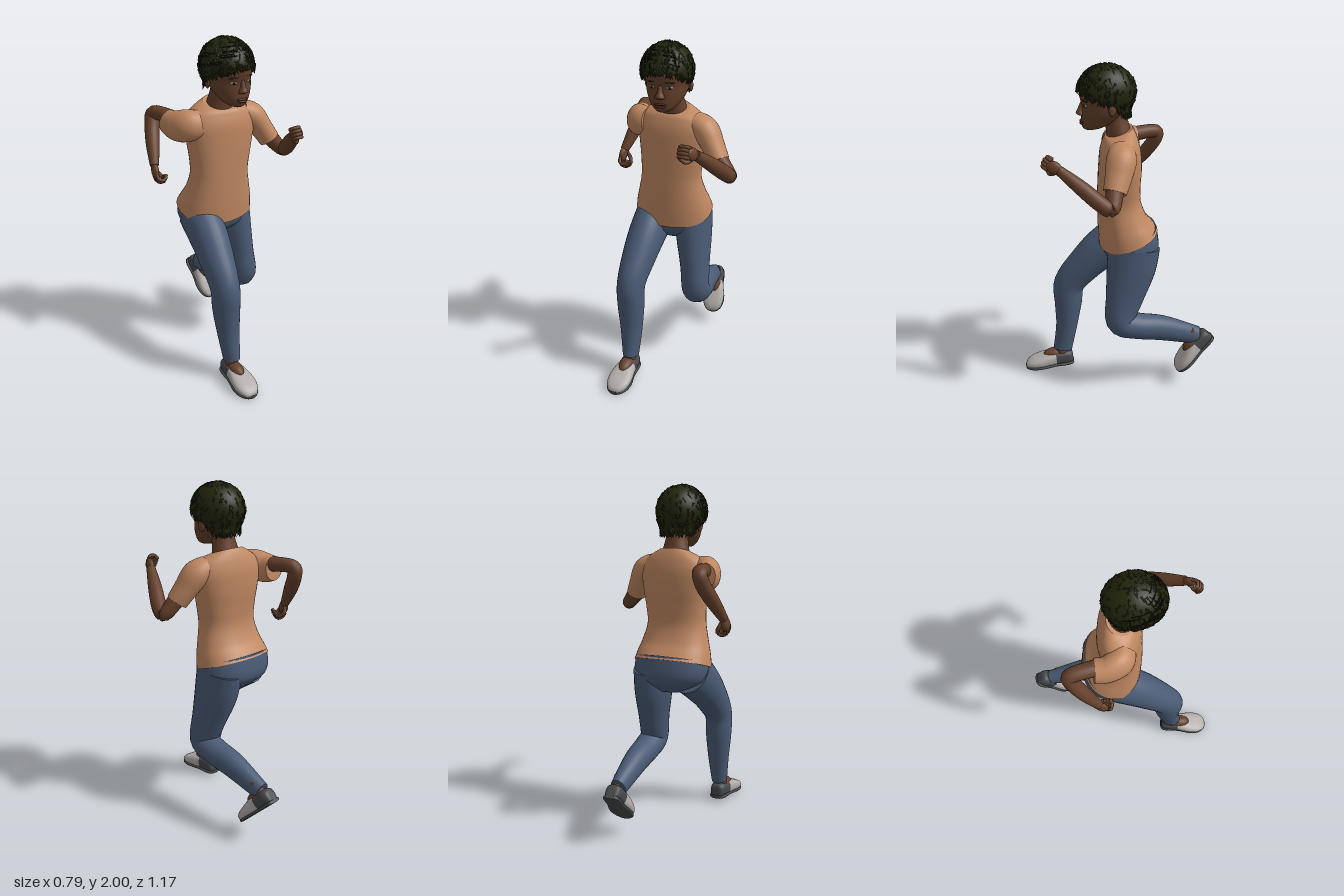
import * as THREE from 'three';
import { mergeGeometries } from 'three/addons/utils/BufferGeometryUtils.js';

const mat = (name, color) => {
  const m = new THREE.MeshStandardMaterial({ color, side: THREE.DoubleSide });
  m.name = name;
  return m;
};
const V = (x, y, z) => new THREE.Vector3(x, y, z);
const X = V(1, 0, 0), Y = V(0, 1, 0), Z = V(0, 0, 1);

// Catmull-Rom interpolation of number rows, k steps per span
function smooth(rows, k) {
  const out = [], last = rows.length - 1;
  const at = (i, c) => rows[Math.min(Math.max(i, 0), last)][c] ?? 0;
  for (let s = 0; s <= last * k; s++) {
    const i = Math.min(Math.floor(s / k), last - 1), t = s / k - i;
    out.push([0, 1, 2, 3, 4, 5].map((c) => {
      const a = at(i - 1, c), b = at(i, c), d = at(i + 1, c), e = at(i + 2, c);
      return b + 0.5 * t * (d - a + t * (2 * a - 5 * b + 4 * d - e + t * (3 * (b - d) + e - a)));
    }));
  }
  return out;
}

// Skin over stations [x, y, z, radiusU, radiusV, tilt]; rings follow the path unless an axis is fixed
function loft(rows, { axis = null, ref = X, n = 28, k = 5, power = 1, yaw = () => 0 } = {}) {
  const st = smooth(rows, k), pos = [], idx = [];
  const c = st.map((s) => V(s[0], s[1], s[2]));
  const bend = (v) => Math.sign(v) * Math.abs(v) ** power;
  st.forEach((s, i) => {
    const T = axis ? axis.clone() : c[Math.min(i + 1, c.length - 1)].clone().sub(c[Math.max(i - 1, 0)]).normalize();
    const U = ref.clone().addScaledVector(T, -ref.dot(T)).normalize();
    const W = T.clone().cross(U);
    for (let j = 0; j < n; j++) {
      const a = (j / n) * Math.PI * 2;
      const p = U.clone().multiplyScalar(s[3] * bend(Math.cos(a))).addScaledVector(W, s[4] * bend(Math.sin(a)));
      p.applyAxisAngle(Y, -yaw(s[1]));
      p.y += s[5] * p.z;
      p.add(c[i]);
      pos.push(p.x, p.y, p.z);
      if (i) {
        const q = (j + 1) % n, A = (i - 1) * n, B = i * n;
        idx.push(A + j, A + q, B + q, A + j, B + q, B + j);
      }
    }
  });
  // End caps on their own vertices
  for (const [i, flip] of [[0, true], [st.length - 1, false]]) {
    const base = pos.length / 3;
    pos.push(...pos.slice(i * n * 3, (i + 1) * n * 3), c[i].x, c[i].y, c[i].z);
    for (let j = 0; j < n; j++) {
      const a = base + j, b = base + ((j + 1) % n);
      idx.push(base + n, flip ? b : a, flip ? a : b);
    }
  }
  const g = new THREE.BufferGeometry();
  g.setAttribute('position', new THREE.Float32BufferAttribute(pos, 3));
  g.setIndex(idx);
  g.computeVertexNormals();
  return g;
}

export function createModel() {
  const root = new THREE.Group();
  const skin = mat('skin', 0x65402b), shirt = mat('shirt', 0xc08862), denim = mat('denim', 0x4a5b75);
  const shoeLight = mat('shoe light', 0xb2adab), shoeDark = mat('shoe dark', 0x46484b);
  const hair = mat('hair', 0x22250c), strand = mat('hair strand', 0x0d0e05);
  const lip = mat('lip', 0x4e2a20), eyeWhite = mat('eye', 0x8d8471), iris = mat('iris', 0x1c130d);
  const add = (name, geo, m, parent = root) => {
    const mesh = new THREE.Mesh(geo, m);
    mesh.name = name;
    parent.add(mesh);
    return mesh;
  };
  const blob = (name, m, p, s, parent = root) => {
    const mesh = add(name, new THREE.SphereGeometry(1, 20, 14), m, parent);
    mesh.position.set(...p);
    mesh.scale.set(...s);
    return mesh;
  };

  // Trousers
  add('pelvis', loft([[0, 0.81, -0.06, 0.09, 0.08], [0, 0.87, -0.065, 0.2, 0.15], [-0.005, 0.93, -0.07, 0.225, 0.17],
    [-0.008, 0.99, -0.062, 0.222, 0.16, -0.33]], { axis: Y, power: 0.9 }), denim);
  add('leftTrouserLeg', loft([[0.11, 0.94, -0.075, 0.11, 0.155], [0.12, 0.8, -0.055, 0.105, 0.148], [0.14, 0.62, -0.012, 0.088, 0.115],
    [0.155, 0.475, 0.015, 0.085, 0.088], [0.157, 0.43, -0.08, 0.082, 0.08], [0.152, 0.392, -0.25, 0.07, 0.078],
    [0.145, 0.312, -0.47, 0.046, 0.058]]), denim);
  add('rightTrouserLeg', loft([[-0.12, 0.93, -0.06, 0.115, 0.14], [-0.135, 0.835, 0.07, 0.11, 0.13], [-0.15, 0.735, 0.175, 0.1, 0.112],
    [-0.165, 0.6, 0.28, 0.083, 0.098], [-0.165, 0.46, 0.293, 0.08, 0.086], [-0.16, 0.3, 0.308, 0.066, 0.068],
    [-0.157, 0.13, 0.338, 0.048, 0.06]]), denim);

  // Shirt, twisted so the left shoulder leads
  const yaw = (y) => 0.13 * THREE.MathUtils.smoothstep(y, 1.1, 1.45);
  add('shirtBody', loft([[-0.008, 0.968, -0.06, 0.232, 0.17, -0.33], [-0.008, 1.03, -0.042, 0.22, 0.157, -0.2],
    [-0.008, 1.1, -0.022, 0.2, 0.14, -0.08], [-0.008, 1.2, -0.005, 0.178, 0.125], [-0.003, 1.3, -0.005, 0.185, 0.124],
    [0, 1.4, -0.01, 0.2, 0.125], [0, 1.5, -0.012, 0.213, 0.118], [0, 1.565, -0.015, 0.19, 0.1], [0, 1.598, -0.012, 0.145, 0.086, -0.15],
    [0, 1.615, -0.005, 0.1, 0.076, -0.35]], { axis: Y, power: 0.88, n: 36, yaw }), shirt);
  add('leftSleeve', loft([[0.13, 1.545, 0.005, 0.07, 0.06], [0.2, 1.505, 0.02, 0.085, 0.075], [0.255, 1.425, 0.048, 0.075, 0.064],
    [0.295, 1.355, 0.075, 0.066, 0.06]], { ref: Z }), shirt);
  add('rightSleeve', loft([[-0.14, 1.52, 0.01, 0.06, 0.075], [-0.2, 1.51, -0.02, 0.075, 0.09], [-0.235, 1.495, -0.09, 0.07, 0.088],
    [-0.24, 1.5, -0.16, 0.068, 0.072]]), shirt);

  // Arms
  add('leftArm', loft([[0.2, 1.5, 0.02, 0.05, 0.05], [0.3, 1.365, 0.075, 0.05, 0.047], [0.365, 1.288, 0.103, 0.042, 0.04],
    [0.36, 1.312, 0.155, 0.044, 0.043], [0.31, 1.395, 0.255, 0.041, 0.04], [0.25, 1.487, 0.37, 0.027, 0.027]], { ref: Z, n: 20 }), skin);
  add('rightArm', loft([[-0.21, 1.515, -0.05, 0.046, 0.046], [-0.238, 1.528, -0.17, 0.045, 0.043], [-0.268, 1.525, -0.285, 0.042, 0.04],
    [-0.285, 1.465, -0.28, 0.043, 0.042], [-0.32, 1.37, -0.22, 0.04, 0.04], [-0.357, 1.265, -0.145, 0.026, 0.026]], { n: 20 }), skin);

  // Half-closed hands: y runs from wrist to knuckles, z is the palm side
  function hand(name, at, dir, palm, thumbSide) {
    const g = new THREE.Group();
    g.name = name;
    const y = V(...dir).normalize(), z = V(...palm).addScaledVector(y, -y.dot(V(...palm))).normalize();
    g.quaternion.setFromRotationMatrix(new THREE.Matrix4().makeBasis(y.clone().cross(z), y, z));
    g.position.set(...at);
    blob('palm', skin, [0, 0.035, 0], [0.036, 0.047, 0.021], g);
    const digit = (label, pts, r) => {
      const curve = new THREE.CatmullRomCurve3(pts.map((p) => V(...p)));
      add(label, new THREE.TubeGeometry(curve, 10, r, 8), skin, g);
      blob(label + 'Tip', skin, pts[pts.length - 1], [r, r, r], g);
    };
    for (let i = 0; i < 4; i++) {
      const x = (i - 1.5) * 0.018, l = i === 0 || i === 3 ? -0.007 : 0;
      digit('finger', [[x, 0.06, -0.002], [x, 0.098 + l, 0.008], [x, 0.102 + l, 0.04], [x, 0.074, 0.05]], 0.0105);
    }
    digit('thumb', [[thumbSide * 0.02, 0.015, 0.008], [thumbSide * 0.046, 0.042, 0.025], [thumbSide * 0.034, 0.072, 0.045]], 0.0115);
    root.add(g);
  }
  hand('leftHand', [0.25, 1.482, 0.365], [-0.035, 0.05, 0.09], [-1, 0, 0], 1);
  hand('rightHand', [-0.357, 1.27, -0.148], [-0.015, -0.12, 0.06], [1, 0, 0.2], -1);

  // Slip-on shoes: z runs from heel to toe
  function shoe(name, at, pitch, turn) {
    const g = new THREE.Group();
    g.name = name;
    g.position.set(...at);
    g.rotation.set(pitch, turn, 0, 'YXZ');
    const part = (rows) => loft(rows.map(([z, w, h]) => [0, h / 2, z, w, h / 2]), { axis: Z, power: 0.75 });
    add('heelCup', part([[-0.1, 0.022, 0.06], [-0.092, 0.038, 0.08], [-0.06, 0.05, 0.092], [0.015, 0.054, 0.092]]), shoeDark, g);
    add('toeUpper', part([[0.01, 0.054, 0.092], [0.06, 0.064, 0.086], [0.12, 0.07, 0.07], [0.17, 0.06, 0.054],
      [0.2, 0.038, 0.036], [0.21, 0.014, 0.018]]), shoeLight, g);
    add('sole', loft([[-0.103, 0.024], [-0.09, 0.045], [-0.05, 0.054], [0.02, 0.055], [0.11, 0.071], [0.17, 0.062], [0.202, 0.038], [0.212, 0.014]]
      .map(([z, w]) => [0, 0.005, z, w, 0.011]), { axis: Z, power: 0.6 }), shoeDark, g);
    blob('instep', skin, [0, 0.072, 0.015], [0.042, 0.04, 0.075], g);
    const ankle = add('ankle', new THREE.CylinderGeometry(0.036, 0.04, 0.1, 20), skin, g);
    ankle.position.set(0, 0.11, -0.03);
    root.add(g);
  }
  shoe('rightShoe', [-0.165, 0.018, 0.37], 0.07, -0.06);
  shoe('leftShoe', [0.148, 0.225, -0.503], 0.76, 0.12);

  // Neck and head
  add('neck', loft([[0, 1.56, -0.015, 0.095, 0.075], [0, 1.62, 0, 0.08, 0.067, -0.25], [0, 1.7, 0.015, 0.064, 0.064],
    [0, 1.78, 0.04, 0.07, 0.07]], { axis: Y }), skin);
  const face = [[1.635, 0.13, 0.185, 0.025], [1.645, 0.09, 0.2, 0.048], [1.668, 0.04, 0.209, 0.074], [1.7, 0, 0.21, 0.096], [1.74, -0.04, 0.208, 0.113],
    [1.78, -0.07, 0.207, 0.121], [1.84, -0.085, 0.22, 0.127], [1.9, -0.075, 0.21, 0.118], [1.95, -0.03, 0.16, 0.08]];
  add('head', loft(face.map(([y, back, front, w]) => [0, y, (back + front) / 2, w, (front - back) / 2]), { axis: Y, n: 36 }), skin);
  add('nose', loft([[0, 1.72, 0.208, 0.028, 0.018], [0, 1.73, 0.214, 0.027, 0.025], [0, 1.755, 0.208, 0.015, 0.02],
    [0, 1.79, 0.2, 0.011, 0.012]], { axis: Y, n: 16 }), skin);
  blob('upperLip', lip, [0, 1.684, 0.206], [0.036, 0.007, 0.011]);
  blob('lowerLip', lip, [0, 1.672, 0.206], [0.03, 0.008, 0.012]);
  for (const s of [-1, 1]) {
    blob('eye', eyeWhite, [s * 0.05, 1.778, 0.193], [0.021, 0.009, 0.008]).rotation.y = s * 0.35;
    blob('iris', iris, [s * 0.049, 1.778, 0.199], [0.008, 0.008, 0.004]);
    const brow = blob('eyebrow', hair, [s * 0.052, 1.806, 0.197], [0.03, 0.004, 0.006]);
    brow.rotation.set(0, s * 0.4, -s * 0.08);
    blob('ear', skin, [s * 0.124, 1.765, 0.055], [0.013, 0.036, 0.023]).rotation.y = s * 0.3;
  }

  // Cropped hair: a cap whose hairline drops from the forehead to the nape
  let seed = 7;
  const rnd = () => (seed = (seed * 16807) % 2147483647) / 2147483647;
  function scalp(az, t, r = 1) {
    const f = Math.cos(az);
    const low = f > 0 ? THREE.MathUtils.lerp(1.785, 1.86, f ** 1.3) : THREE.MathUtils.lerp(1.785, 1.715, Math.min(1, -f * 1.6));
    const phi = t * Math.acos((low - 1.842) / 0.153);
    const ring = phi > Math.PI / 2 ? Math.max(Math.sin(phi), 0.82) : Math.sin(phi);
    return V(-0.006 + Math.sin(az) * ring * 0.147 * r, 1.842 + Math.cos(phi) * 0.153 * r, 0.064 + f * ring * 0.168 * r);
  }
  const cap = new THREE.SphereGeometry(1, 56, 20), cp = cap.attributes.position, uv = cap.attributes.uv;
  for (let i = 0; i < cp.count; i++) {
    const p = scalp(uv.getX(i) < 0.001 || uv.getX(i) > 0.999 ? 0 : uv.getX(i) * Math.PI * 2, 1 - uv.getY(i));
    cp.setXYZ(i, p.x, p.y, p.z);
  }
  cap.computeVertexNormals();
  add('hairCap', cap, hair);
  const tufts = [], lines = [];
  for (let i = 0; i < 420; i++) {
    const az = rnd() * Math.PI * 2, t = i < 140 ? 0.97 : Math.sqrt(rnd());
    const a = scalp(az, t, 0.985), b = scalp(az + (rnd() - 0.5) * 0.35, t + 0.12, 1.03);
    const d = b.clone().sub(a).normalize();
    const g = new THREE.ConeGeometry(0.008, 0.036, 4);
    g.applyQuaternion(new THREE.Quaternion().setFromUnitVectors(Y, d));
    tufts.push(g.translate(a.x + d.x * 0.012, a.y + d.y * 0.012, a.z + d.z * 0.012));
  }
  add('hairTufts', mergeGeometries(tufts), hair);
  for (let i = 0; i < 34; i++) {
    const az = -0.7 + (rnd() - 0.5) * 2.8, t = 0.3 + rnd() * 0.5, across = i % 2;
    const pts = [0, 1, 2, 3].map((s) => scalp(az + s * (across ? 0.2 : 0.03), t + s * (across ? 0.01 : 0.07), 1.012));
    lines.push(new THREE.TubeGeometry(new THREE.CatmullRomCurve3(pts), 10, 0.0025, 4));
  }
  add('hairStrands', mergeGeometries(lines), strand);
  return root;
}
